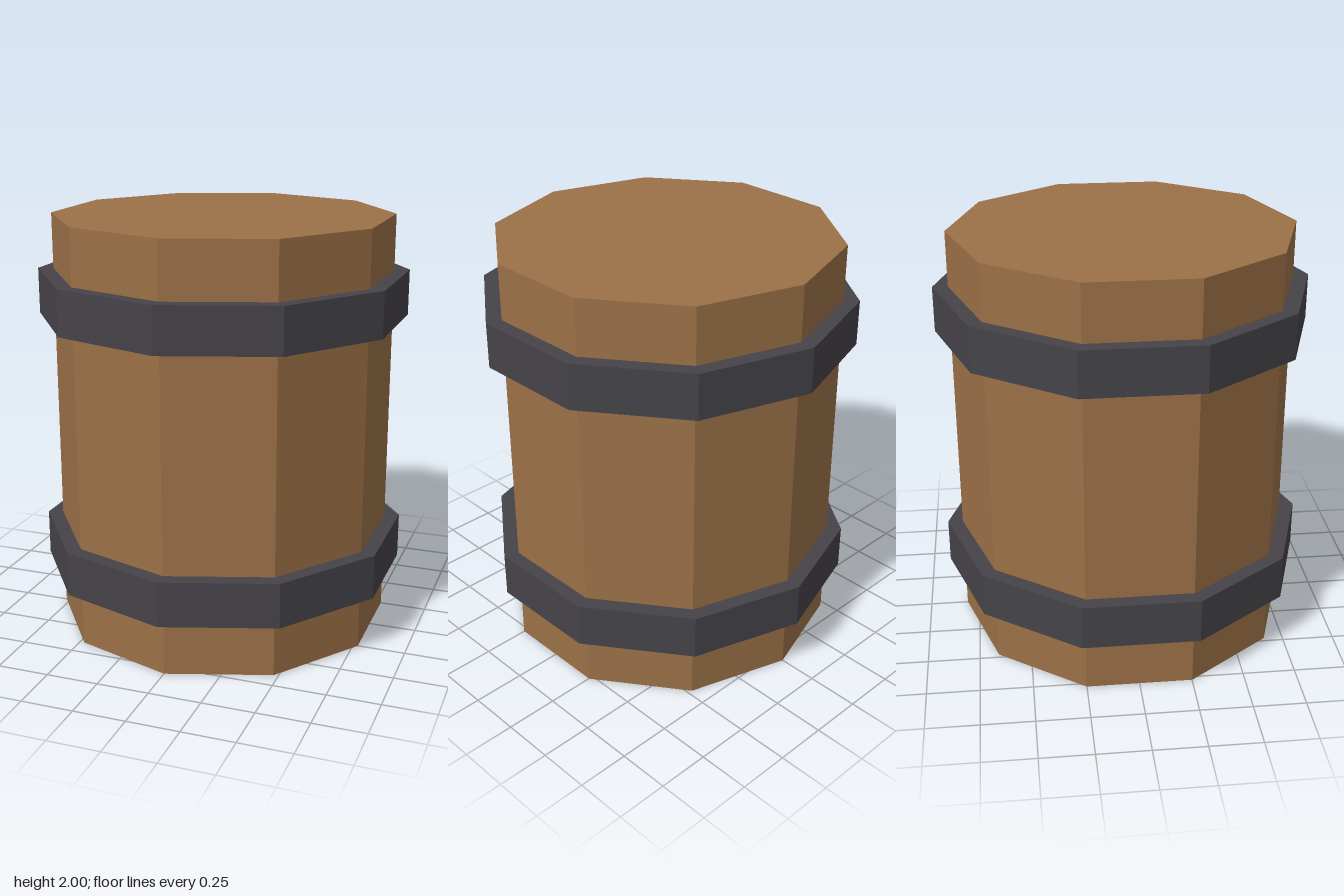
import * as THREE from 'three';

const SIDES = 10;

export function createModel() {
  const wood = new THREE.MeshStandardMaterial({ color: 0x9b7047, flatShading: true });
  wood.name = 'wood brown';
  const iron = new THREE.MeshStandardMaterial({ color: 0x454349, flatShading: true });
  iron.name = 'dark iron';

  const barrel = new THREE.Group();
  barrel.name = 'barrel';

  // Ten-sided drum with a corner pointing to the front
  const addDrum = (name, radius, height, y, material) => {
    const mesh = new THREE.Mesh(new THREE.CylinderGeometry(radius, radius, height, SIDES), material);
    mesh.name = name;
    mesh.position.y = y;
    barrel.add(mesh);
  };

  // Wooden body
  addDrum('body', 0.813, 2, 1, wood);

  // Iron hoops around the body
  addDrum('lowerHoop', 0.886, 0.217, 0.379, iron);
  addDrum('upperHoop', 0.886, 0.217, 1.627, iron);

  return barrel;
}
